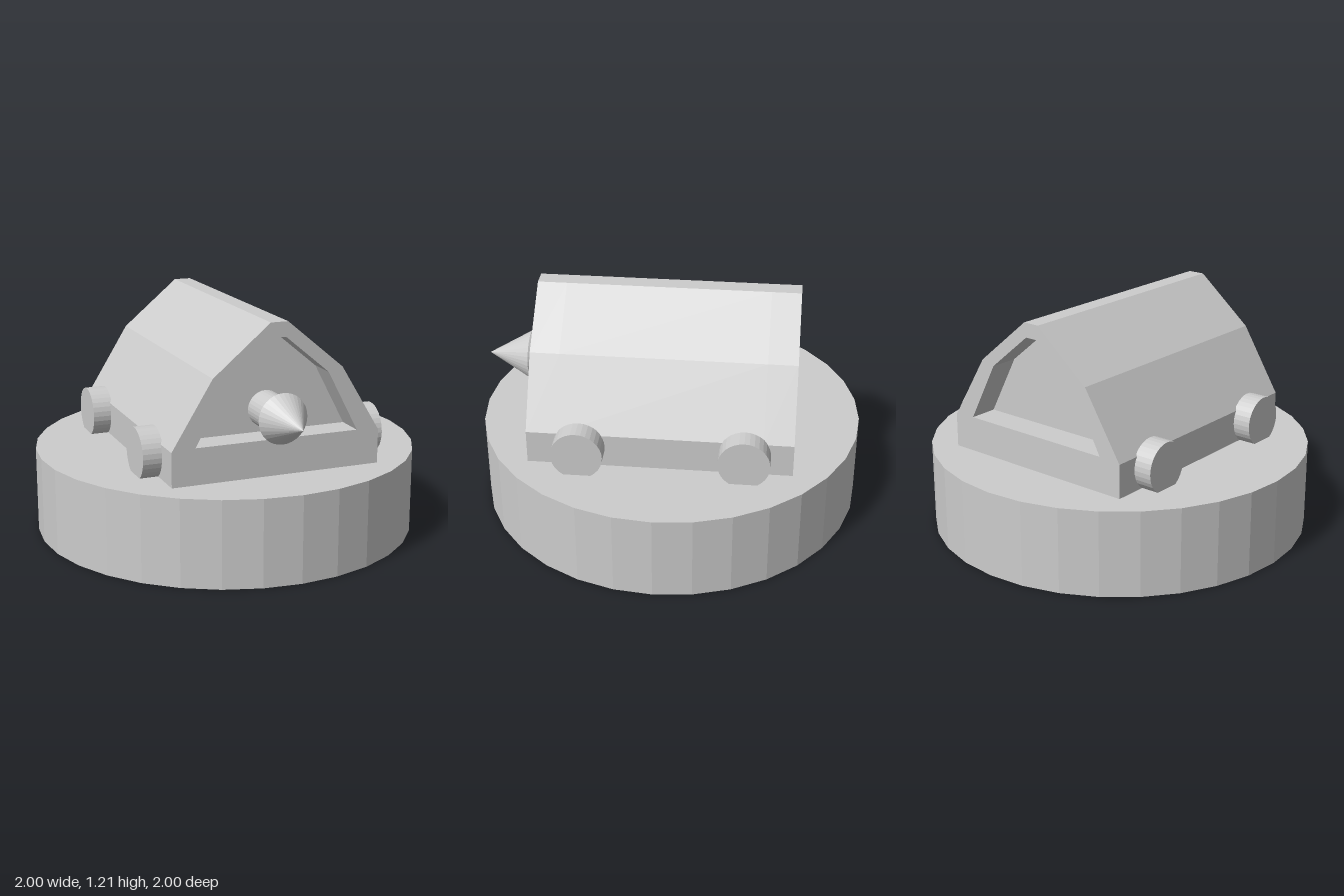
import * as THREE from 'three';

const FRONT = 0.68, BACK = -0.66, RECESS = 0.15;

export function createModel() {
  const model = new THREE.Group();
  model.name = 'cabinOnPlinth';
  const grey = new THREE.MeshStandardMaterial({ color: 0xcccccc, flatShading: true });
  grey.name = 'plain grey';

  const add = (name, geometry, x = 0, y = 0, z = 0) => {
    const mesh = new THREE.Mesh(geometry, grey);
    mesh.name = name;
    mesh.position.set(x, y, z);
    model.add(mesh);
    return mesh;
  };
  const points = (list) => list.map(([x, y]) => new THREE.Vector2(x, y));
  const extrude = (shape, depth) => new THREE.ExtrudeGeometry(shape, { depth, bevelEnabled: false });

  // Round plinth
  add('plinth', new THREE.CylinderGeometry(1, 1, 0.445, 32), 0, 0.2225, 0);

  // Hull cross-section and the opening at each end
  const outline = points([
    [-0.54, 0.44], [0.557, 0.44], [0.557, 0.62], [0.35, 0.96],
    [0.055, 1.207], [-0.035, 1.207], [-0.33, 0.96], [-0.54, 0.62],
  ]);
  const opening = points([
    [-0.418, 0.63], [-0.253, 0.94], [-0.025, 1.132],
    [0.045, 1.132], [0.275, 0.94], [0.437, 0.63],
  ]);
  const rim = new THREE.Shape(outline);
  rim.holes.push(new THREE.Path(opening));

  // Solid middle with a recessed frame at the front and back
  add('hull', extrude(new THREE.Shape(outline), FRONT - BACK - 2 * RECESS), 0, 0, BACK + RECESS);
  add('frontFrame', extrude(rim, RECESS), 0, 0, FRONT - RECESS);
  add('backFrame', extrude(rim, RECESS), 0, 0, BACK);

  // Wheels, two on each side
  const wheel = new THREE.CylinderGeometry(0.13, 0.13, 0.105, 32).rotateZ(Math.PI / 2);
  for (const [side, x] of [['left', 0.603], ['right', -0.583]]) {
    add(side + 'FrontWheel', wheel, x, 0.555, 0.413);
    add(side + 'BackWheel', wheel, x, 0.555, -0.417);
  }

  // Nose drill: shaft, collar and point turned in one profile
  const drill = new THREE.LatheGeometry(points([
    [0, 0.52], [0.092, 0.52], [0.092, 0.73], [0.118, 0.73], [0.128, 0.745], [0, 0.97],
  ]), 32).rotateX(Math.PI / 2);
  add('noseDrill', drill, 0.005, 0.747, 0);

  return model;
}
